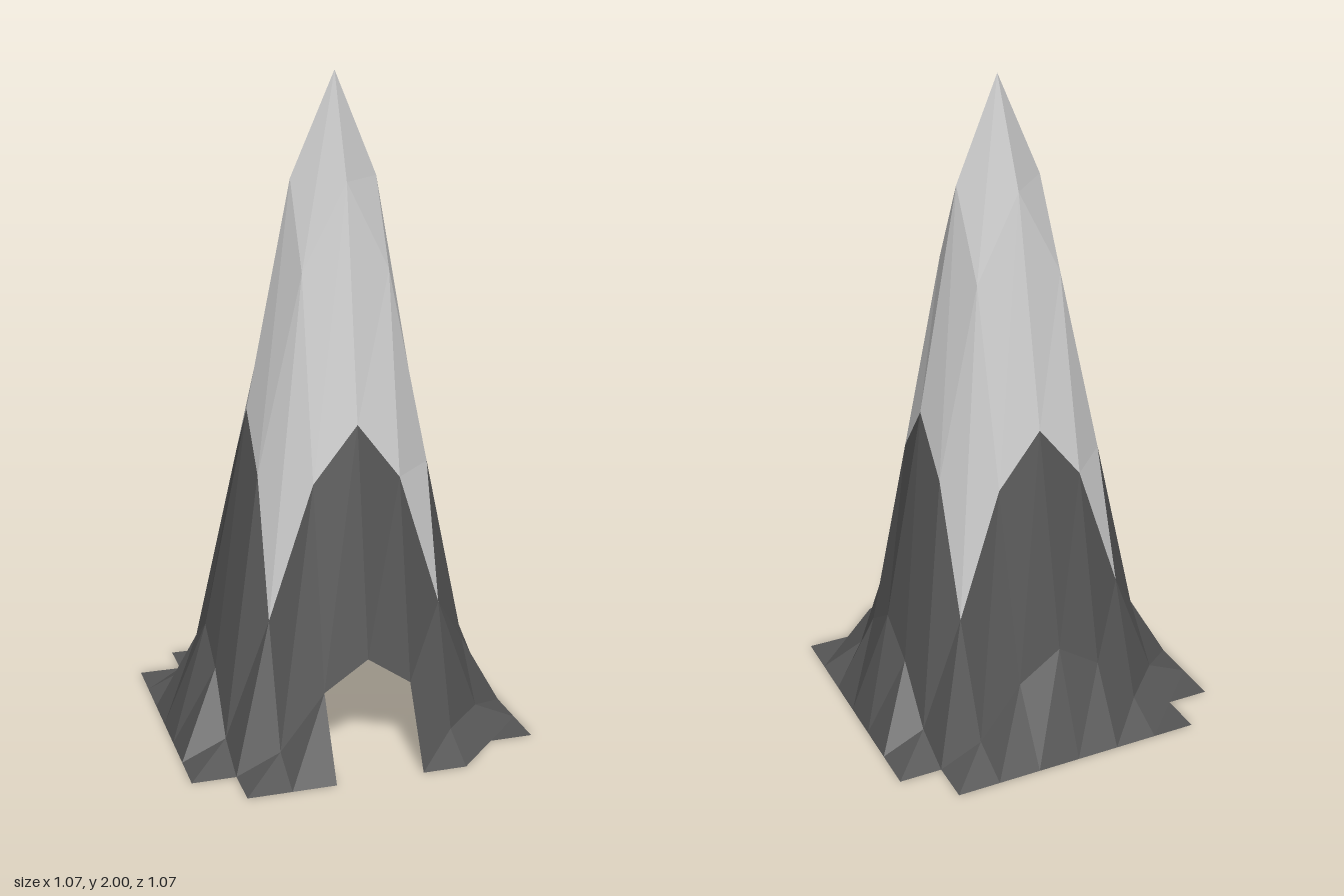
import * as THREE from 'three';

const STEP = 2 / 15; // grid spacing
const LEAN = 0.01;   // sideways lean per unit of height

// Heights of one quadrant, indexed by [|i|][|j|] in grid steps from the summit
const HEIGHTS = [
  [2.0, 1.69, 1.0, 0.32, 0],
  [1.69, 1.43, 0.83, 0.23, 0],
  [1.0, 0.83, 0.42, 0.06, 0],
  [0.32, 0.23, 0.06, 0, 0],
  [0, 0, 0, 0, 0],
];

function point(i, j) {
  const h = HEIGHTS[Math.abs(i)][Math.abs(j)];
  return [i * STEP + LEAN * h, h, j * STEP];
}

// Faceted terrain from the grid cells accepted by the test
function terrain(name, color, accepts) {
  const pos = [];
  for (let i = -4; i < 4; i++) {
    for (let j = -4; j < 4; j++) {
      if (!accepts(i, j)) continue;
      const a = point(i, j), b = point(i, j + 1);
      const c = point(i + 1, j + 1), d = point(i + 1, j);
      pos.push(...a, ...b, ...d);
      // one front toe is cut off diagonally
      if (!(i === 2 && j === 3)) pos.push(...b, ...c, ...d);
    }
  }
  const geo = new THREE.BufferGeometry();
  geo.setAttribute('position', new THREE.Float32BufferAttribute(pos, 3));
  geo.computeVertexNormals();
  const mat = new THREE.MeshStandardMaterial({ color, flatShading: true, side: THREE.DoubleSide });
  const mesh = new THREE.Mesh(geo, mat);
  mesh.name = name;
  return mesh;
}

const isPeak = (i, j) => i >= -2 && i < 2 && j >= -2 && j < 2;
const isCorner = (i, j) => (i === -4 || i === 3) && (j === -4 || j === 3);
const isCaveMouth = (i, j) => j === 3 && (i === -1 || i === 0);

export function createModel() {
  const group = new THREE.Group();
  group.name = 'mountain';
  // pale upper peak
  group.add(terrain('peak', 0xcccccc, isPeak));
  // dark lower slopes with spreading toes and a cave opening in front
  group.add(terrain('lowerSlopes', 0x555555,
    (i, j) => !isPeak(i, j) && !isCorner(i, j) && !isCaveMouth(i, j)));
  return group;
}
